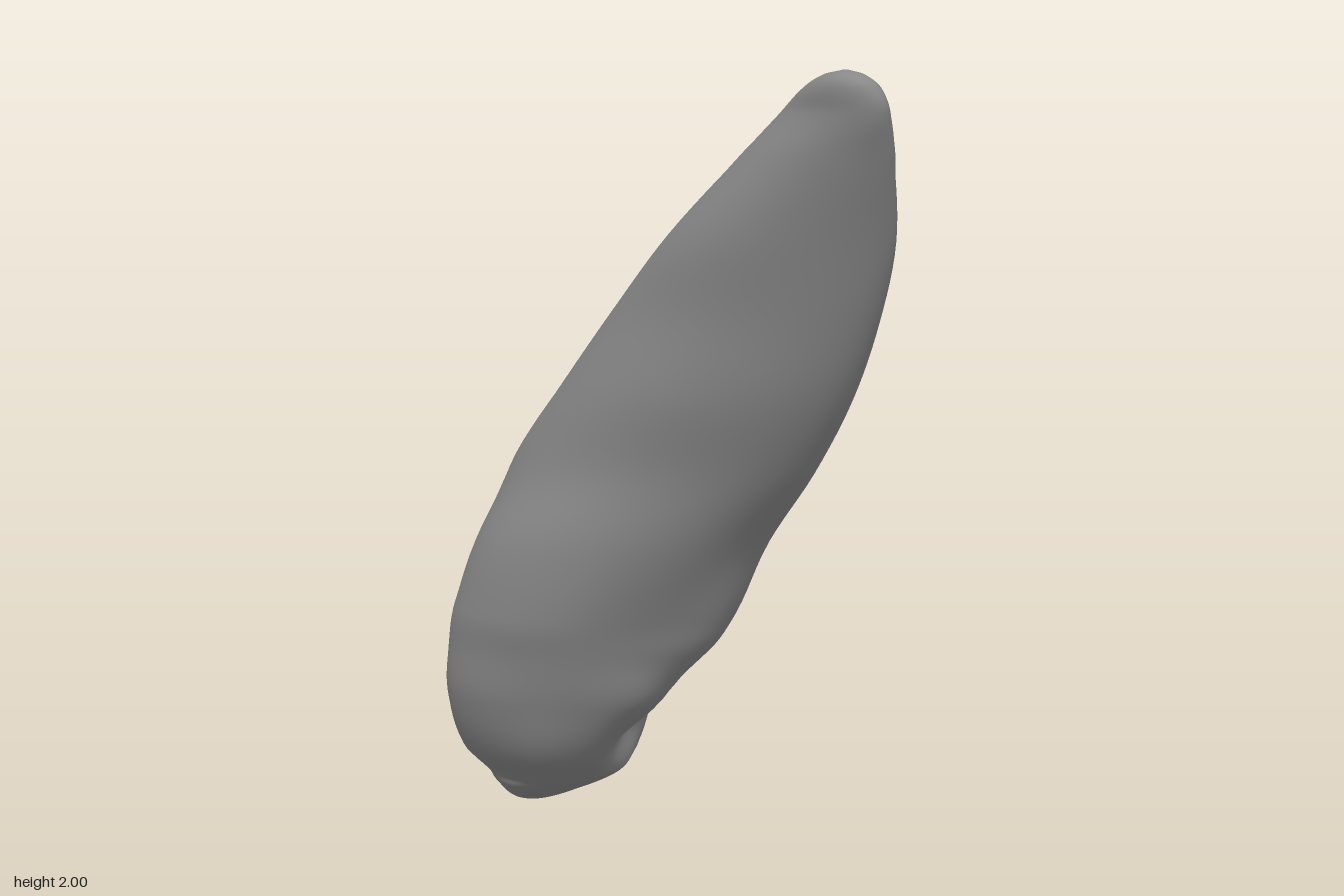
import * as THREE from 'three';

// Crown outlines: height, then x, z pairs running from +x towards +z
const CROWN = [
  [0.1, 0.11, -0.42, 0.02, -0.28, -0.12, -0.2, -0.22, -0.22, -0.285, -0.3, -0.31, -0.4, -0.24, -0.53, 0.02, -0.7, 0.14, -0.69, 0.175, -0.58],
  [0.2, 0.09, -0.4, -0.01, -0.2, -0.1, -0.07, -0.24, -0.08, -0.355, -0.19, -0.4, -0.34, -0.3, -0.52, 0.02, -0.74, 0.185, -0.72, 0.215, -0.57],
  [0.36, 0.1, -0.17, 0.07, -0.03, -0.02, 0.05, -0.23, 0.01, -0.4, -0.13, -0.45, -0.3, -0.34, -0.48, 0.02, -0.74, 0.2, -0.7, 0.24, -0.4],
  [0.5, 0.2, -0.03, 0.14, 0.08, 0, 0.105, -0.23, 0.06, -0.39, -0.08, -0.45, -0.27, -0.345, -0.46, -0.02, -0.71, 0.15, -0.66, 0.2, -0.33],
  [0.6, 0.245, 0.04, 0.185, 0.13, 0.02, 0.145, -0.23, 0.095, -0.38, -0.04, -0.44, -0.24, -0.345, -0.44, -0.04, -0.68, 0.1, -0.61, 0.185, -0.27],
  [0.8, 0.315, 0.07, 0.265, 0.19, 0.08, 0.245, -0.16, 0.175, -0.325, 0.02, -0.38, -0.18, -0.3, -0.39, -0.08, -0.56, 0.06, -0.46, 0.18, -0.18],
];
// Skewed ovals: y, x min, x max, z min, z max, skew, sideways bend
const BASE = [
  [0, -0.2, -0.18, -0.46, -0.44, 0, 0],
  [0.015, -0.24, -0.12, -0.52, -0.36, 0, 0],
  [0.05, -0.275, 0.0, -0.58, -0.29, -0.15, 0],
  [0.075, -0.295, 0.09, -0.64, -0.25, -0.25, 0],
];
const ROOT = [
  [1.0, -0.26, 0.39, -0.36, 0.345, 0.54, 0.05],
  [1.2, -0.17, 0.43, -0.2, 0.46, 0.62, 0.06],
  [1.4, -0.08, 0.45, -0.04, 0.55, 0.66, 0.05],
  [1.6, 0.0, 0.45, 0.16, 0.63, 0.64, 0.035],
  [1.8, 0.12, 0.4, 0.35, 0.715, 0.57, 0.015],
  [1.9, 0.18, 0.365, 0.45, 0.755, 0.5, 0],
  [1.96, 0.205, 0.34, 0.54, 0.748, 0.4, 0],
  [1.99, 0.235, 0.31, 0.6, 0.71, 0.2, 0],
  [2, 0.27, 0.28, 0.655, 0.665, 0, 0],
];
const STEPS = 6, SIDES = 80;

// Section as [y, centre x, centre z, radius at each angle]
function section(y, points) {
  const outline = new THREE.CatmullRomCurve3(points.map(([x, z]) => new THREE.Vector3(x, 0, z)), true).getPoints(160);
  const box = new THREE.Box3().setFromPoints(outline);
  const c = box.getCenter(new THREE.Vector3());
  outline.forEach((p) => p.sub(c));
  const row = [y, c.x, c.z];
  for (let j = 0; j < SIDES; j++) {
    const a = (j / SIDES) * Math.PI * 2, dx = Math.cos(a), dz = Math.sin(a);
    const side = (p) => dx * p.z - dz * p.x, along = (p) => dx * p.x + dz * p.z;
    let radius = 0;
    for (let i = 0; i < outline.length - 1; i++) {
      const p = outline[i], q = outline[i + 1], sp = side(p), sq = side(q);
      if (sp <= 0 && sq > 0 && along(p) > 0) radius = along(p) + (along(q) - along(p)) * (sp / (sp - sq));
    }
    row.push(radius);
  }
  return row;
}

const boxy = (v) => Math.sign(v) * Math.abs(v) ** 0.9;

function oval([y, x0, x1, z0, z1, skew, bend]) {
  const points = [], hx = (x1 - x0) / 2, hz = (z1 - z0) / 2;
  const reach = 0.574 * hx + 0.819 * hz;
  for (let j = 0; j < 16; j++) {
    const a = (j / 16) * Math.PI * 2, c = boxy(Math.cos(a)), s = boxy(Math.sin(a));
    const x = hx * c, z = hz * (skew * c + Math.sqrt(1 - skew * skew) * s);
    // the middle of the oval leans towards -x +z, its two ends stay put
    const m = bend * (1 - ((0.574 * x + 0.819 * z) / reach) ** 2);
    points.push([(x0 + x1) / 2 + x - 0.82 * m, (z0 + z1) / 2 + z + 0.57 * m]);
  }
  return section(y, points);
}

function crownOutline([y, ...v]) {
  const points = [];
  for (let j = 0; j < v.length; j += 2) points.push([v[j], v[j + 1]]);
  return section(y, points);
}

// Cubic blend between neighbouring sections, allowing for uneven spacing
function blend(rows, t) {
  const last = rows.length - 1;
  const i = Math.min(Math.floor(t), last - 1), f = t - i;
  const a = rows[Math.max(i - 1, 0)], b = rows[i], c = rows[i + 1], d = rows[Math.min(i + 2, last)];
  const h = c[0] - b[0], f2 = f * f, f3 = f2 * f;
  return b.map((p, k) => {
    if (k === 0) return p + h * f;
    const m0 = (h * (c[k] - a[k])) / (c[0] - a[0]);
    const m1 = (h * (d[k] - p)) / (d[0] - b[0]);
    return (2 * f3 - 3 * f2 + 1) * p + (f3 - 2 * f2 + f) * m0 + (3 * f2 - 2 * f3) * c[k] + (f3 - f2) * m1;
  });
}

export function createModel() {
  const group = new THREE.Group();
  group.name = 'tooth';
  const rows = [...BASE.map(oval), ...CROWN.map(crownOutline), ...ROOT.map(oval)];
  const pos = [], index = [];
  const rings = (rows.length - 1) * STEPS;
  for (let i = 0; i <= rings; i++) {
    const [y, cx, cz, ...radii] = blend(rows, i / STEPS);
    radii.forEach((r, j) => {
      const a = (j / SIDES) * Math.PI * 2;
      pos.push(cx + r * Math.cos(a), y, cz + r * Math.sin(a));
    });
    for (let j = 0; j < SIDES && i < rings; j++) {
      const a = i * SIDES + j, b = i * SIDES + ((j + 1) % SIDES);
      index.push(a, a + SIDES, b, b, a + SIDES, b + SIDES);
    }
  }
  // close the crown and the root tip
  const bottom = pos.length / 3, top = bottom + 1, first = rings * SIDES;
  pos.push(-0.19, 0, -0.45, 0.275, 2, 0.66);
  for (let j = 0; j < SIDES; j++) {
    const k = (j + 1) % SIDES;
    index.push(bottom, j, k, top, first + k, first + j);
  }
  const geometry = new THREE.BufferGeometry();
  geometry.setAttribute('position', new THREE.Float32BufferAttribute(pos, 3));
  geometry.setIndex(index);
  geometry.computeVertexNormals();
  const mesh = new THREE.Mesh(geometry, new THREE.MeshStandardMaterial({ color: 0x888888 }));
  mesh.name = 'crownAndRoot';
  group.add(mesh);
  return group;
}
